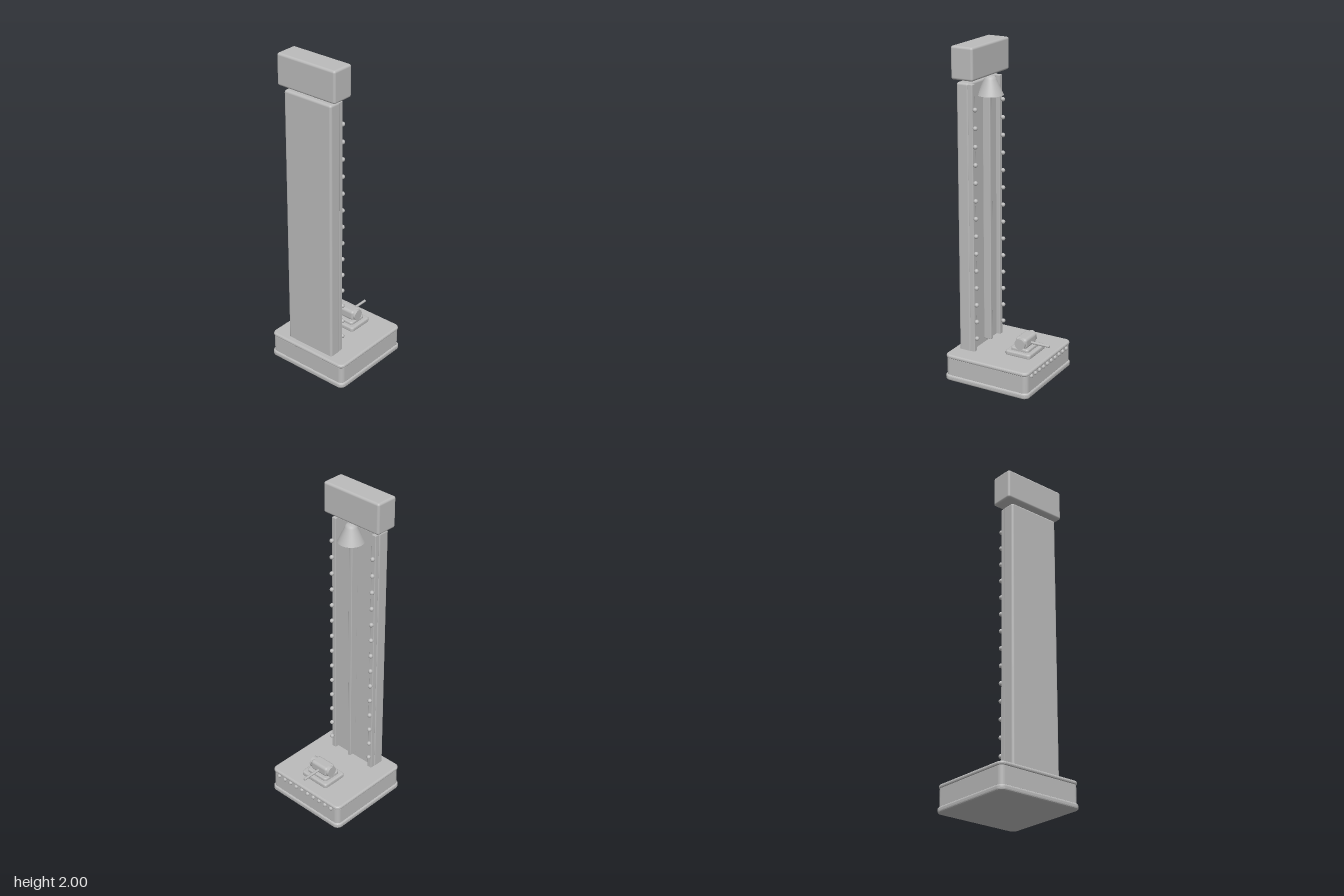
import * as THREE from 'three';
import { RoundedBoxGeometry } from 'three/addons/geometries/RoundedBoxGeometry.js';

export function createModel() {
  const model = new THREE.Group();
  model.name = 'highStriker';
  const grey = new THREE.MeshStandardMaterial({ color: 0xbbbbbb });
  grey.name = 'plain grey';
  const greyShell = new THREE.MeshStandardMaterial({ color: 0xbbbbbb, side: THREE.DoubleSide });
  greyShell.name = 'plain grey shell';

  function add(name, geometry, x = 0, y = 0, z = 0, material = grey) {
    const mesh = new THREE.Mesh(geometry, material);
    mesh.name = name;
    mesh.position.set(x, y, z);
    model.add(mesh);
    return mesh;
  }

  // Softened box given by its limits in y and z, centred on x
  function block(name, w, y0, y1, z0, z1, r, x = 0) {
    return add(name, new RoundedBoxGeometry(w, y1 - y0, z1 - z0, 3, r), x, (y0 + y1) / 2, (z0 + z1) / 2);
  }

  // Flat slab with round plan corners and bevelled rims
  function slab(name, w, d, y0, y1, corner, bevel, z = 0) {
    const a = w / 2 - bevel, b = d / 2 - bevel, r = corner - bevel;
    const s = new THREE.Shape();
    s.absarc(a - r, b - r, r, 0, Math.PI / 2);
    s.absarc(-a + r, b - r, r, Math.PI / 2, Math.PI);
    s.absarc(-a + r, -b + r, r, Math.PI, Math.PI * 1.5);
    s.absarc(a - r, -b + r, r, Math.PI * 1.5, Math.PI * 2);
    const g = new THREE.ExtrudeGeometry(s, {
      depth: y1 - y0 - 2 * bevel, bevelSize: bevel, bevelThickness: bevel, bevelSegments: 3, curveSegments: 6,
    });
    g.rotateX(-Math.PI / 2);
    return add(name, g, 0, y0 + bevel, z);
  }

  // Stepped base
  slab('baseFoot', 0.568, 0.568, 0, 0.036, 0.038, 0.012);
  slab('baseBody', 0.55, 0.55, 0.03, 0.146, 0.03, 0.006);
  slab('baseTop', 0.56, 0.56, 0.14, 0.165, 0.036, 0.011);

  // Tower board, side rails, centre track and head
  block('towerBoard', 0.336, 0.15, 1.79, 0.163, 0.243, 0.014);
  for (const side of [-1, 1]) block('sideRail', 0.03, 0.155, 1.785, 0.139, 0.17, 0.004, side * 0.15);
  block('centreTrack', 0.024, 0.19, 1.7, 0.116, 0.166, 0.004);
  block('headBoard', 0.41, 1.81, 2, 0.113, 0.255, 0.014);

  // Bulbs up the rails and along the base
  const bulb = new THREE.SphereGeometry(0.0135, 12, 8);
  for (const side of [-1, 1]) {
    for (let i = 0; i < 14; i++) add('railBulb', bulb, side * 0.155, 0.25 + i * 0.107, 0.128);
  }
  for (let i = 0; i < 10; i++) add('baseBulb', bulb, -0.218 + i * 0.0485, 0.13, -0.274);

  // Bell, open at the bottom
  const profile = [[0.077, 1.7], [0.036, 1.79], [0.033, 1.8], [0.024, 1.808], [0, 1.812]];
  add('bell', new THREE.LatheGeometry(profile.map(([r, y]) => new THREE.Vector2(r, y)), 32), 0, 0, 0.12, greyShell);

  // Strike pad with mallet
  slab('padLower', 0.205, 0.168, 0.16, 0.192, 0.018, 0.01, -0.115);
  slab('padUpper', 0.156, 0.12, 0.185, 0.21, 0.018, 0.008, -0.115);
  block('malletHead', 0.134, 0.204, 0.27, -0.156, -0.079, 0.018);
  const core = add('malletCaps', new THREE.CylinderGeometry(0.034, 0.034, 0.156, 24), 0, 0.236, -0.118);
  core.rotation.z = Math.PI / 2;
  const handle = add('malletHandle', new THREE.CylinderGeometry(0.008, 0.008, 0.15, 12), 0, 0.228, -0.203);
  handle.rotation.x = Math.PI / 2;

  return model;
}
